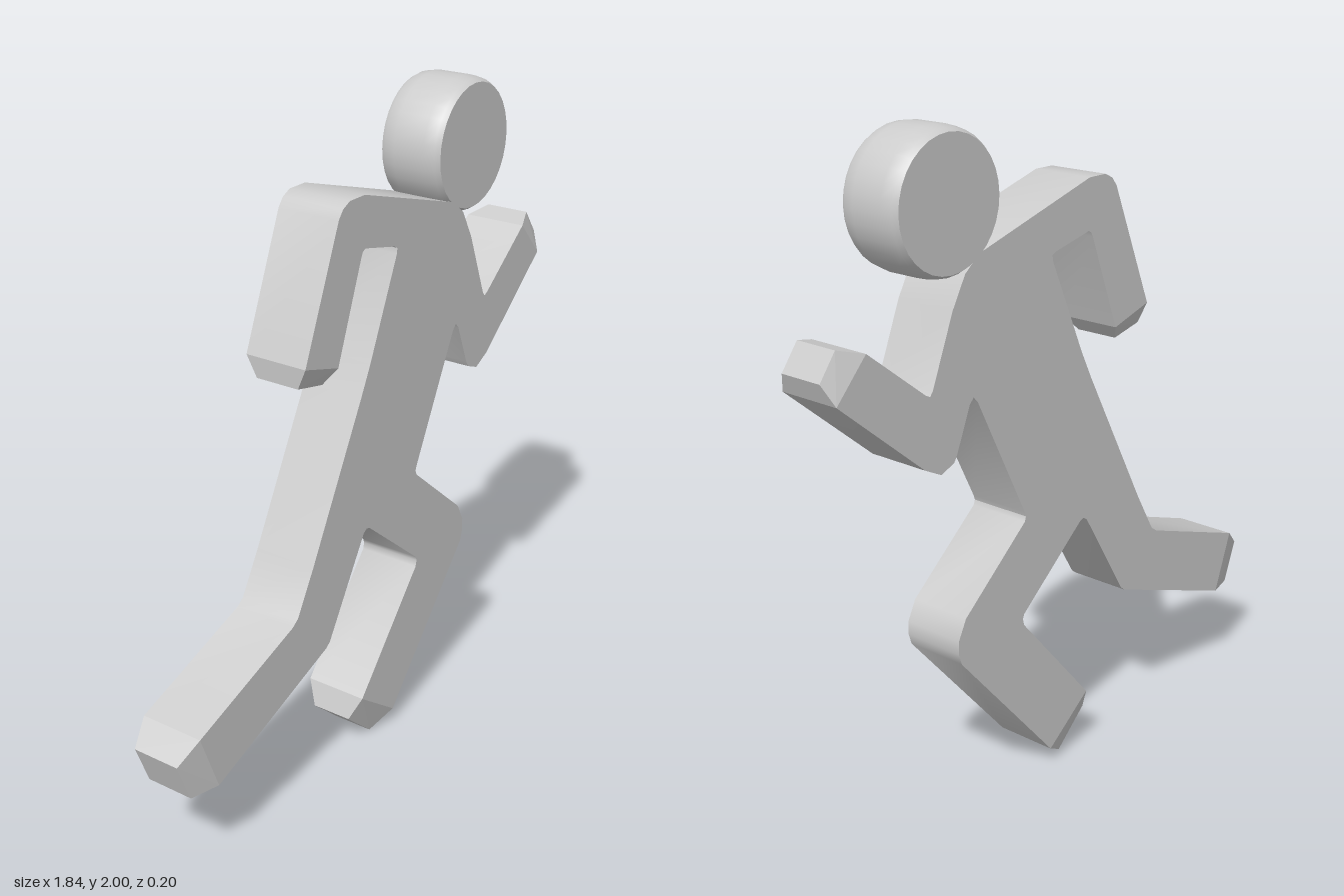
import * as THREE from 'three';
import { toCreasedNormals } from 'three/addons/utils/BufferGeometryUtils.js';
import { ConvexGeometry } from 'three/addons/geometries/ConvexGeometry.js';

const HALF = 0.1; // half thickness of the figure
const material = new THREE.MeshStandardMaterial({ color: 0xcccccc });

function addMesh(group, name, geometry) {
  const mesh = new THREE.Mesh(geometry, material);
  mesh.name = name;
  group.add(mesh);
  return mesh;
}

// Limb end: full thickness at the inner edge a-b, thinner at the outer edge c-d
function limbTip(a, b, c, d, endHalf) {
  const points = [];
  for (const side of [-1, 1]) {
    for (const p of [a, b]) points.push(new THREE.Vector3(p[0], p[1], side * HALF));
    for (const p of [c, d]) points.push(new THREE.Vector3(p[0], p[1], side * endHalf));
  }
  return new ConvexGeometry(points);
}

export function createModel() {
  const group = new THREE.Group();
  group.name = 'runningFigure';

  // Body, arms and legs as one flat outline, anticlockwise from the rear foot
  const outline = [
    [-0.78, 0.28], [-0.275, 0.462], [-0.258, 0.475],        // rear shin, knee
    [-0.085, 0.76], [-0.07, 0.77], [-0.055, 0.765],         // crotch
    [0.2, 0.55], [0.205, 0.535], [0.2, 0.515],              // back of front knee
    [-0.09, 0.18], [0.08, 0.05],                            // front ankle
    [0.465, 0.49], [0.476, 0.525], [0.475, 0.565], [0.445, 0.625], // front knee
    [0.195, 0.84], [0.19, 0.855], [0.195, 0.87],            // hip
    [0.385, 1.25], [0.4, 1.265], [0.415, 1.25],             // front armpit
    [0.468, 1.12], [0.48, 1.1], [0.53, 1.08], [0.59, 1.11], // front elbow
    [0.89, 1.36], [0.785, 1.475],                           // front wrist
    [0.58, 1.315], [0.565, 1.308], [0.555, 1.32],           // inner elbow
    [0.475, 1.52], [0.425, 1.61], [0.37, 1.655],            // front shoulder
    [-0.085, 1.79], [-0.155, 1.79], [-0.185, 1.775], [-0.205, 1.75], // rear elbow
    [-0.36, 1.375], [-0.21, 1.33],                          // rear wrist
    [-0.1, 1.62], [-0.093, 1.633], [-0.08, 1.638],          // inner rear arm
    [0.06, 1.605], [0.075, 1.597], [0.073, 1.58],           // rear armpit
    [-0.055, 1.29], [-0.1, 1.2], [-0.335, 0.76],            // back
    [-0.41, 0.63], [-0.435, 0.612], [-0.85, 0.47],          // rear knee, shin
  ];
  const shape = new THREE.Shape(outline.map(([x, y]) => new THREE.Vector2(x, y)));
  const body = new THREE.ExtrudeGeometry(shape, { depth: 2 * HALF, bevelEnabled: false });
  body.translate(0, 0, -HALF);
  addMesh(group, 'body', toCreasedNormals(body, 0.6));

  // Tapered hands and feet
  addMesh(group, 'rearFoot', limbTip([-0.85, 0.47], [-0.78, 0.28], [-0.92, 0.41], [-0.87, 0.28], 0.075));
  addMesh(group, 'frontFoot', limbTip([-0.09, 0.18], [0.08, 0.05], [-0.115, 0.105], [0, 0], 0.065));
  addMesh(group, 'rearHand', limbTip([-0.36, 1.375], [-0.21, 1.33], [-0.355, 1.31], [-0.245, 1.285], 0.07));
  addMesh(group, 'frontHand', limbTip([0.89, 1.36], [0.785, 1.475], [0.915, 1.42], [0.86, 1.495], 0.07));

  // Head: a disc with a rounded rim
  const profile = [
    [0, -0.1], [0.185, -0.1], [0.194, -0.085], [0.2, -0.05],
    [0.2, 0.05], [0.194, 0.085], [0.185, 0.1], [0, 0.1],
  ].map(([r, y]) => new THREE.Vector2(r, y));
  const head = toCreasedNormals(new THREE.LatheGeometry(profile, 32), 0.6);
  head.rotateX(Math.PI / 2);
  addMesh(group, 'head', head).position.set(0.475, 1.8, 0);

  return group;
}
